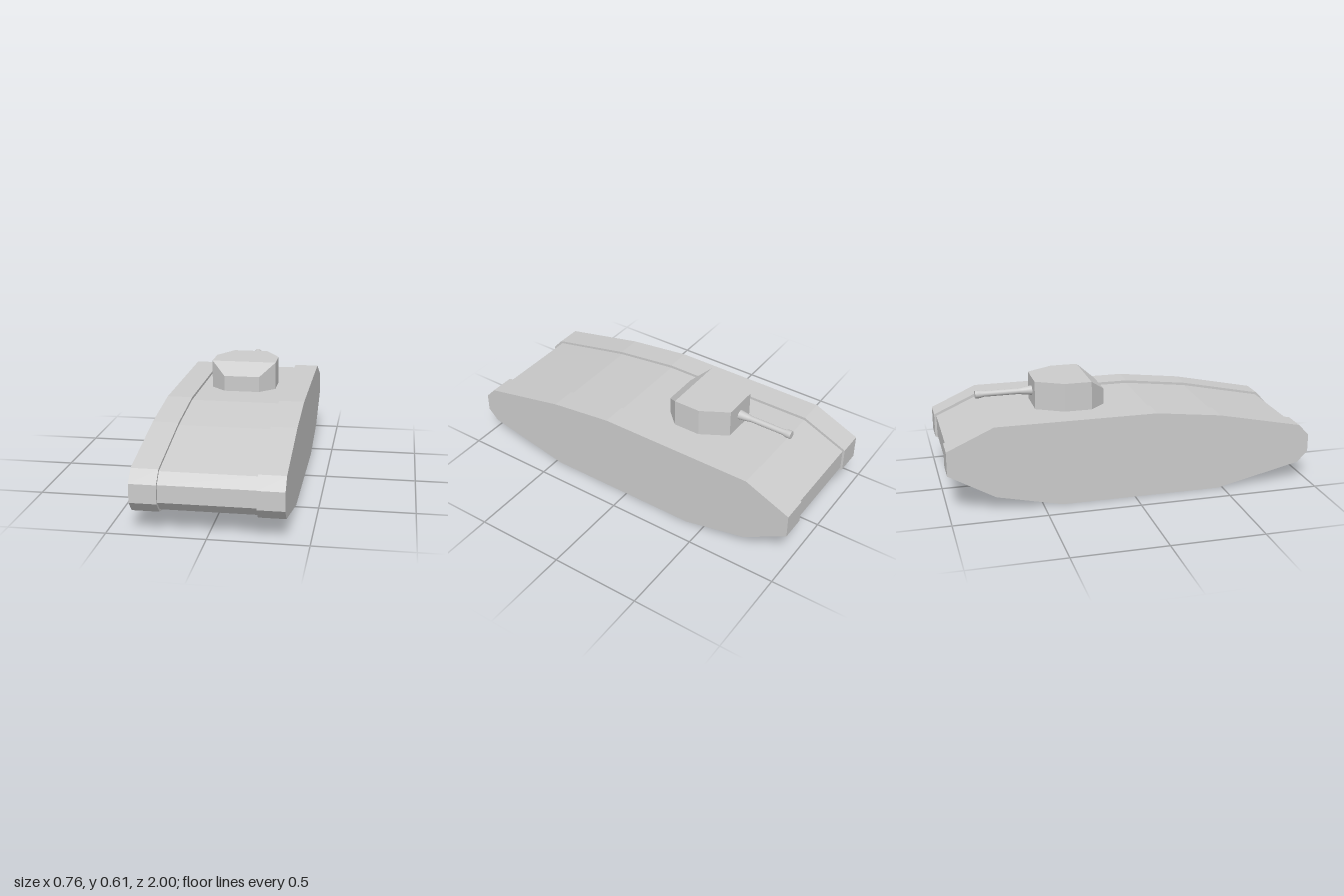
import * as THREE from 'three';
import { ConvexGeometry } from 'three/addons/geometries/ConvexGeometry.js';

const flat = new THREE.MeshStandardMaterial({ color: 0xcccccc, flatShading: true });
const smooth = new THREE.MeshStandardMaterial({ color: 0xcccccc });

function addMesh(group, name, geometry, material = flat) {
  const mesh = new THREE.Mesh(geometry, material);
  mesh.name = name;
  group.add(mesh);
  return mesh;
}

// Extrudes a [z, y] side profile across x, centred on x = 0
function slab(profile, width) {
  const shape = new THREE.Shape(profile.map(([z, y]) => new THREE.Vector2(z, y)));
  return new THREE.ExtrudeGeometry(shape, { depth: width, bevelEnabled: false })
    .rotateY(-Math.PI / 2)
    .translate(width / 2, 0, 0);
}

export function createModel() {
  const group = new THREE.Group();
  group.name = 'tank';

  // Track housings, one per side
  const trackProfile = [
    [1, 0.165], [1, 0.262], [0.943, 0.324], [0.475, 0.422], [0.12, 0.465], [-0.75, 0.465],
    [-1, 0.353], [-1, 0.222], [-0.753, 0.08], [-0.4, 0], [0.475, 0], [0.943, 0.106],
  ];
  for (const side of [1, -1]) {
    const track = addMesh(group, side > 0 ? 'leftTrack' : 'rightTrack', slab(trackProfile, 0.138));
    track.position.x = side * 0.311;
  }

  // Hull, slightly recessed between the tracks
  const hullProfile = [
    [0.985, 0.168], [0.985, 0.258], [0.935, 0.312], [0.472, 0.408], [0.12, 0.45], [-0.746, 0.45],
    [-0.988, 0.343], [-0.988, 0.23], [-0.748, 0.094], [-0.4, 0.015], [0.472, 0.015], [0.935, 0.116],
  ];
  addMesh(group, 'hull', slab(hullProfile, 0.484));

  // Turret: eight-sided plan with a sloped front, rows of [half width, z, top y]
  const corners = [];
  for (const [x, z, top] of [[0.1, -0.105, 0.537], [0.183, -0.19, 0.605], [0.183, -0.34, 0.605], [0.1, -0.485, 0.605]]) {
    for (const s of [1, -1]) {
      corners.push(new THREE.Vector3(s * x, 0.445, z), new THREE.Vector3(s * x, top, z));
    }
  }
  addMesh(group, 'turret', new ConvexGeometry(corners));

  // Gun barrel pointing to the rear, with a flared root and muzzle
  const barrelProfile = [
    [0.027, 0], [0.019, 0.06], [0.016, 0.075], [0.016, 0.265], [0.022, 0.292], [0.022, 0.315],
  ].map(([r, t]) => new THREE.Vector2(r, t));
  const barrel = addMesh(group, 'gunBarrel', new THREE.LatheGeometry(barrelProfile, 20).rotateX(-Math.PI / 2), smooth);
  barrel.position.set(0, 0.528, -0.48);

  // Muzzle face
  const muzzle = addMesh(group, 'muzzle', new THREE.CircleGeometry(0.022, 20).rotateY(Math.PI), smooth);
  muzzle.position.set(0, 0.528, -0.795);

  return group;
}
